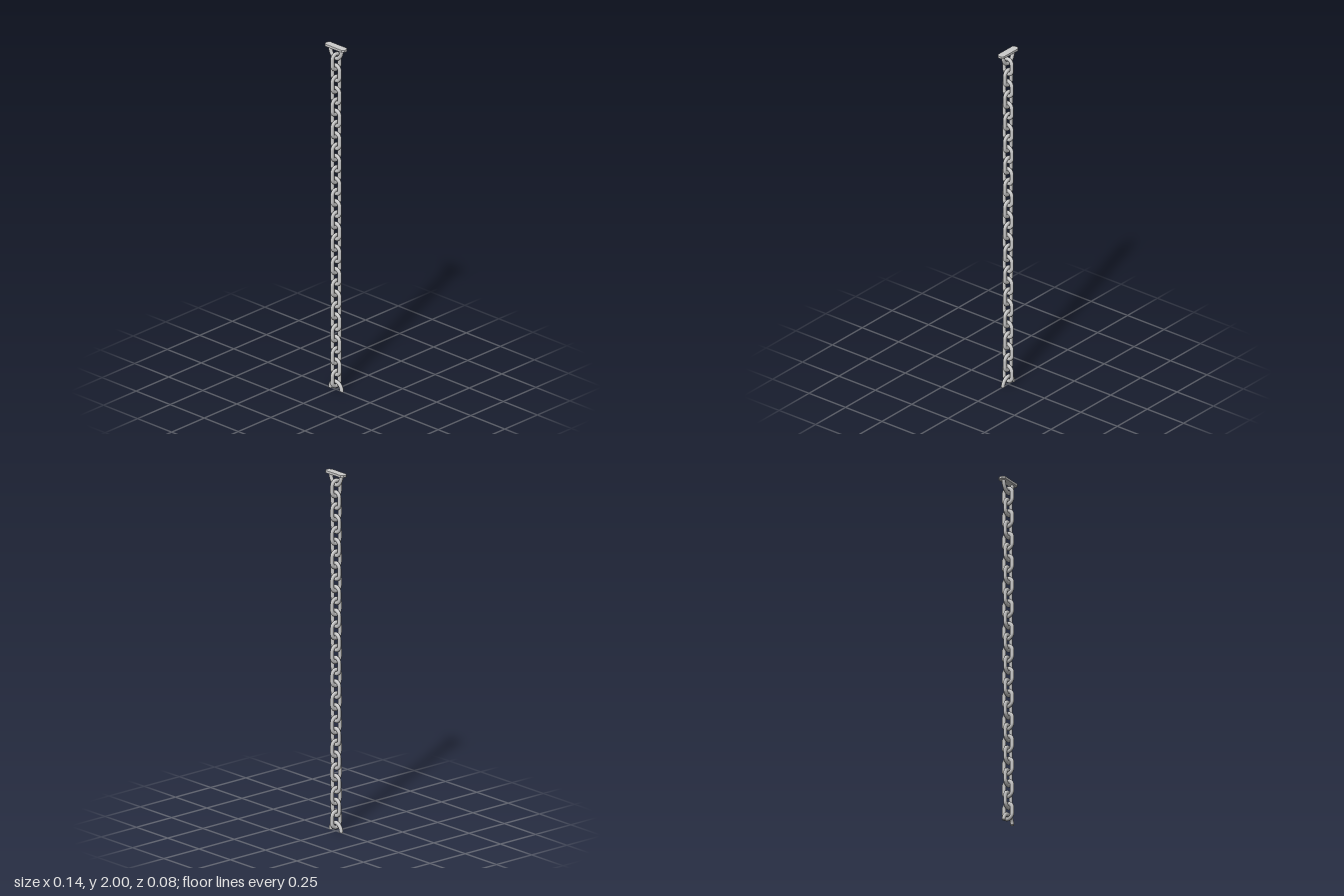
import * as THREE from 'three';

const STEEL = new THREE.MeshStandardMaterial({ color: 0xcccccc });
const WIRE = 0.0115;      // wire radius in the plane of a link
const FLATTEN = 0.84;     // wire is a little thinner across the plane

// Closed outline of a link: two half circles joined by straight sides
class LinkCurve extends THREE.Curve {
  constructor(radius, halfStraight) {
    super();
    this.radius = radius;
    this.halfStraight = halfStraight;
  }
  getPoint(t, target = new THREE.Vector3()) {
    const r = this.radius, h = this.halfStraight;
    const arc = Math.PI * r, total = 2 * arc + 4 * h;
    let d = (((t % 1) + 1) % 1) * total;
    const side = d < total / 2 ? 1 : -1;
    if (side < 0) d -= total / 2;
    if (d < h) return target.set(side * r, side * d, 0);
    if (d < h + arc) {
      const a = (d - h) / r;
      return target.set(side * r * Math.cos(a), side * (h + r * Math.sin(a)), 0);
    }
    return target.set(-side * r, side * (2 * h + arc - d), 0);
  }
}

// Half-ellipse shackle, arching up (dir = 1) or hanging down (dir = -1)
class ArchCurve extends THREE.Curve {
  constructor(rx, ry, dir) {
    super();
    this.rx = rx;
    this.ry = ry;
    this.dir = dir;
  }
  getPoint(t, target = new THREE.Vector3()) {
    const a = Math.PI * t;
    return target.set(this.rx * Math.cos(a), this.dir * this.ry * Math.sin(a), 0);
  }
}

function wireMesh(curve, segments, closed, name) {
  const geometry = new THREE.TubeGeometry(curve, segments, WIRE, 10, closed);
  geometry.scale(1, 1, FLATTEN);
  const mesh = new THREE.Mesh(geometry, STEEL);
  mesh.name = name;
  return mesh;
}

export function createModel() {
  const model = new THREE.Group();
  model.name = 'chain';

  // Mounting plate with clipped corners
  const px = 0.071, pz = 0.021, cut = 0.012, thick = 0.013;
  const outline = new THREE.Shape([
    [-px + cut, -pz], [px - cut, -pz], [px, -pz + cut], [px, pz - cut],
    [px - cut, pz], [-px + cut, pz], [-px, pz - cut], [-px, -pz + cut],
  ].map(([x, y]) => new THREE.Vector2(x, y)));
  const plateGeometry = new THREE.ExtrudeGeometry(outline, { depth: thick, bevelEnabled: false });
  plateGeometry.rotateX(-Math.PI / 2);
  const plate = new THREE.Mesh(plateGeometry, STEEL);
  plate.name = 'mountingPlate';
  plate.position.y = 2 - thick;
  model.add(plate);

  // Shackle hanging from the plate
  const topShackle = wireMesh(new ArchCurve(0.042, 0.06, -1), 18, false, 'topShackle');
  topShackle.position.y = 1.989;
  model.add(topShackle);

  // Open shackle at the bottom, with its two cut ends closed
  const bottomShackle = new THREE.Group();
  bottomShackle.name = 'bottomShackle';
  bottomShackle.add(wireMesh(new ArchCurve(0.042, 0.046, 1), 18, false, 'arch'));
  for (const side of [-1, 1]) {
    const cap = new THREE.Mesh(new THREE.CircleGeometry(WIRE, 10), STEEL);
    cap.name = 'cutEnd';
    cap.scale.y = FLATTEN;
    cap.rotation.x = Math.PI / 2;
    cap.position.x = side * 0.042;
    bottomShackle.add(cap);
  }
  model.add(bottomShackle);

  // Links, alternating side-on and face-on
  const link = wireMesh(new LinkCurve(0.0265, 0.018), 28, true, 'link');
  const links = new THREE.Group();
  links.name = 'links';
  for (let i = 0; i < 29; i++) {
    const sideOn = i % 2 === 0;
    const copy = link.clone();
    copy.name = sideOn ? 'sideLink' : 'faceLink';
    copy.position.y = 1.91 - i * 0.0659;
    copy.rotation.y = sideOn ? Math.PI / 2 - 0.045 : 0;
    links.add(copy);
  }
  model.add(links);

  return model;
}
